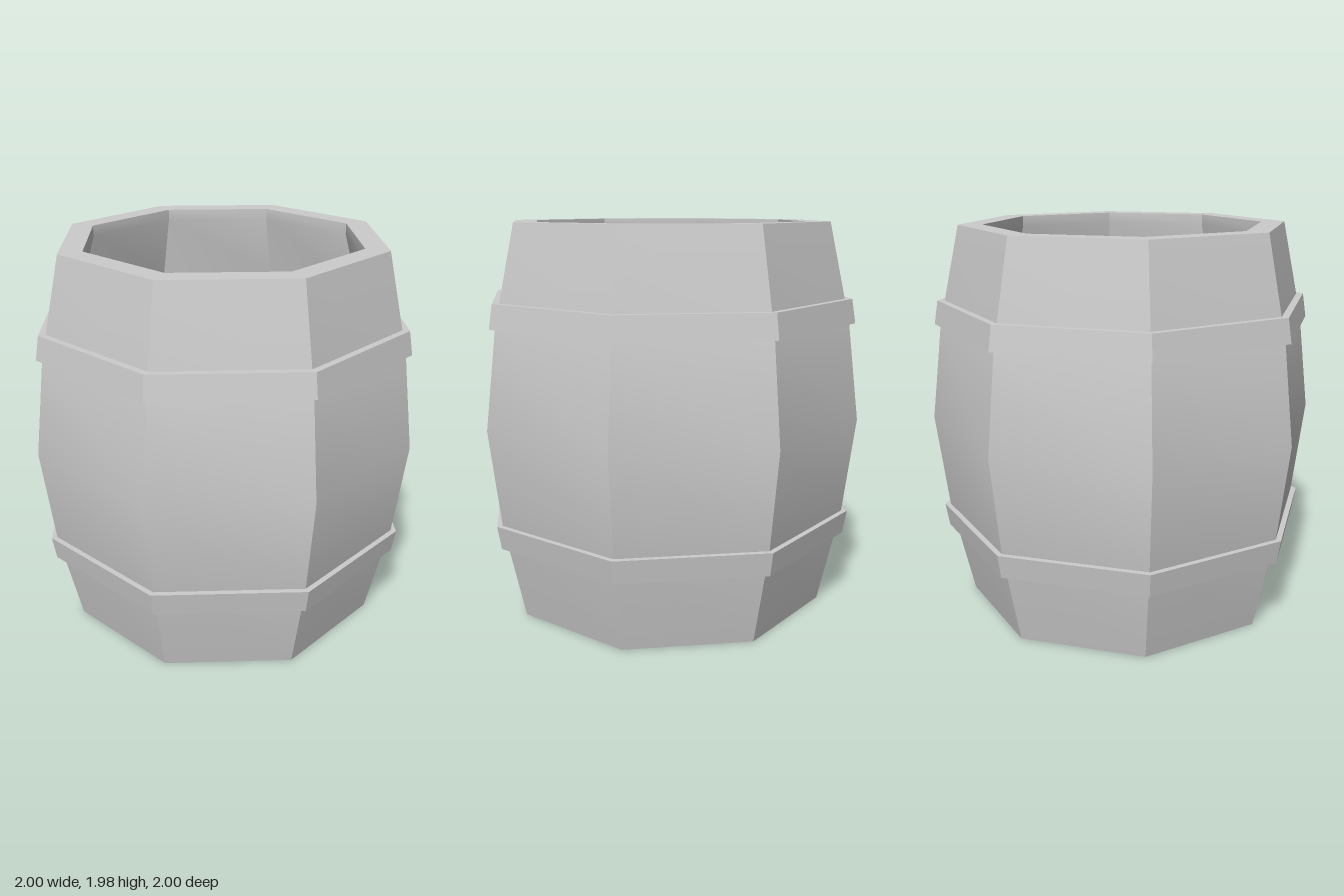
import * as THREE from 'three';
import { toCreasedNormals } from 'three/addons/utils/BufferGeometryUtils.js';

const SIDES = 8;
const HEIGHT = 1.975;

export function createModel() {
  const group = new THREE.Group();
  group.name = 'barrel';
  const material = new THREE.MeshStandardMaterial({ color: 0xcccccc });

  const add = (name, geometry, y = 0) => {
    const mesh = new THREE.Mesh(geometry, material);
    mesh.name = name;
    mesh.position.y = y;
    group.add(mesh);
  };

  // Eight-sided ring: sharp at the corners, soft along the bulge
  const ring = (profile) => toCreasedNormals(
    new THREE.LatheGeometry(profile.map(([r, y]) => new THREE.Vector2(r, y)), SIDES),
    THREE.MathUtils.degToRad(20)
  );

  // Hollow bulging body: up the outside, over the rim, down the inside, under the base
  add('body', ring([
    [0.83, 0], [0.94, 0.495], [1, 0.99], [0.94, 1.48], [0.83, HEIGHT],
    [0.71, HEIGHT], [0.71, 1.92], [0.81, 1.58], [0.88, 0.99], [0.81, 0.4],
    [0.71, 0.07], [0.71, 0], [0.83, 0],
  ]));

  // Floor set slightly above the bottom edge
  add('floor', new THREE.CylinderGeometry(0.725, 0.712, 0.05, SIDES).toNonIndexed(), 0.095);

  // Two hoops, tapering towards the ends of the barrel
  add('upperHoop', ring([
    [0.92, 1.48], [0.97, 1.48], [0.95, 1.6], [0.9, 1.6], [0.92, 1.48],
  ]));
  add('lowerHoop', ring([
    [0.9, 0.38], [0.95, 0.38], [0.97, 0.5], [0.92, 0.5], [0.9, 0.38],
  ]));

  // Flat facets on the floor's edge
  group.getObjectByName('floor').geometry.computeVertexNormals();
  return group;
}
